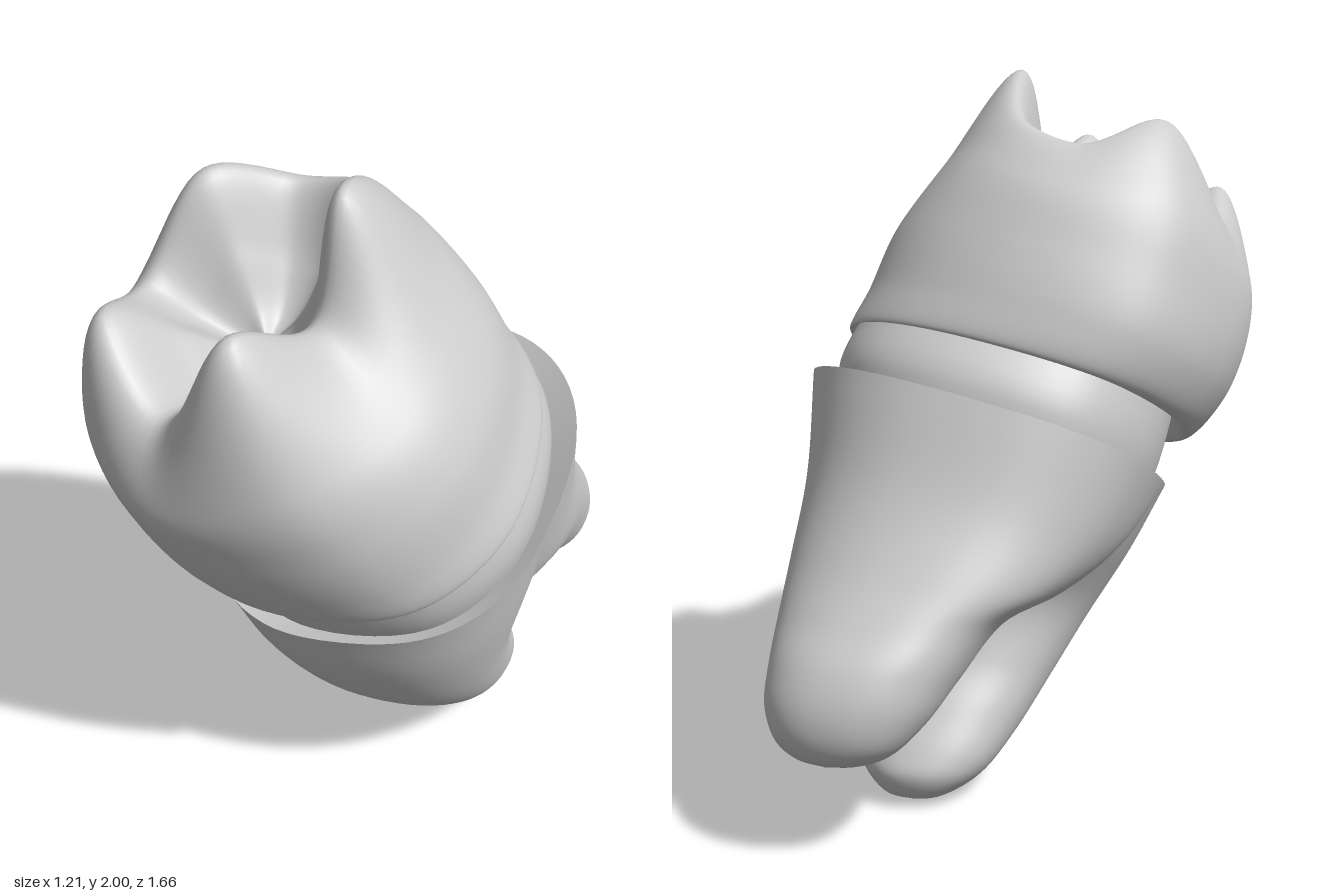
import * as THREE from 'three';

const V = (x, y, z) => new THREE.Vector3(x, y, z);

// Smooth surface through a stack of closed control rings (equal point counts)
function loft(rings, around, along) {
  const loops = rings.map((r) => {
    const curve = new THREE.CatmullRomCurve3(r, true);
    return Array.from({ length: around }, (_, i) => curve.getPoint(i / around));
  });
  const pos = [];
  const index = [];
  for (let i = 0; i < around; i++) {
    const curve = new THREE.CatmullRomCurve3(loops.map((l) => l[i]));
    for (let j = 0; j <= along; j++) pos.push(...curve.getPoint(j / along).toArray());
  }
  const id = (i, j) => (i % around) * (along + 1) + j;
  for (let i = 0; i < around; i++) {
    for (let j = 0; j < along; j++) {
      const a = id(i, j), b = id(i + 1, j), c = id(i + 1, j + 1), d = id(i, j + 1);
      index.push(a, d, b, b, d, c);
    }
  }
  const g = new THREE.BufferGeometry();
  g.setAttribute('position', new THREE.Float32BufferAttribute(pos, 3));
  g.setIndex(index);
  g.computeVertexNormals();
  return g;
}

// Unit outline, squared on one diagonal (power below 1) and round on the other
function outline(angle, power) {
  const c = Math.cos(angle), s = Math.sin(angle);
  const k = c * s > 0 ? power : 0.95;
  return [c, s].map((v) => Math.sign(v) * Math.abs(v) ** k);
}

// Rim of the chewing surface: cusp, saddle, cusp, saddle ... and a back ridge (x, height, z)
const RIM = [
  [0.2, 0.86, -0.19], [0.126, 0.65, 0.05], [0.05, 0.866, 0.25], [-0.225, 0.6, 0.32],
  [-0.4, 0.756, 0.115], [-0.42, 0.62, -0.09], [-0.27, 0.762, -0.335], [-0.09, 0.61, -0.435],
  [0.1, 0.65, -0.4],
].map((p) => V(...p));
const ANGLES = [-20, 20, 63, 109, 153, 190, 237, 275, 308].map((a) => a * Math.PI / 180);

// Ring in the crown's own frame
const oval = (h, cx, cz, rx, rz, power = 0.75) => ANGLES.map((a) => {
  const [c, s] = outline(a, power);
  return V(cx + rx * c, h, cz + rz * s);
});

function crownGeometry() {
  const pit = V(-0.15, 0.4, -0.06);
  const shoulder = oval(0.5, -0.105, -0.005, 0.47, 0.515, 0.9);
  shoulder.forEach((p, i) => { p.y += i % 2 ? -0.04 : 0.02; });
  // Inner rings run down from the rim towards the central pit
  const inner = (t, cuspHeight, saddleHeight) => RIM.map((p, i) => {
    const q = p.clone().lerp(pit, t);
    q.y = i % 2 || i === 8 ? saddleHeight : cuspHeight;
    return q;
  });
  return loft([
    oval(0.04, -0.01, 0, 0.45, 0.46),
    oval(0, -0.02, 0, 0.505, 0.505),
    oval(0.12, -0.065, 0, 0.53, 0.53),
    oval(0.3, -0.085, 0, 0.53, 0.535, 0.82),
    shoulder, RIM,
    inner(0.45, 0.58, 0.48),
    inner(0.75, 0.45, 0.41),
    RIM.map(() => pit.clone()),
  ], 99, 88);
}

// Root section: front point (z, y), back point (z, y), centre x, half width, sideways tilt
function section([zf, yf, zb, yb, cx, rx, tilt = 0]) {
  return Array.from({ length: 24 }, (_, i) => {
    const [u, s] = outline(-i / 24 * Math.PI * 2, 1 - 0.6 * rx);
    const c = u * rx;
    return V(cx + c, (yf + yb) / 2 + s * (yf - yb) / 2 + tilt * c, (zf + zb) / 2 + s * (zf - zb) / 2);
  });
}

function rootGeometry(sections, tip) {
  const rings = sections.map(section);
  rings.push(rings[0].map(() => V(...tip)));
  return loft(rings, 72, 56);
}

const ROOT_RIM = [0.57, 0.78, -0.4, 1.2, 0.095, 0.5, 0.22];

const FRONT_ROOT = [
  ROOT_RIM,
  [0.5, 0.6, -0.25, 0.87, 0.12, 0.42, 0.18],
  [0.36, 0.39, -0.15, 0.6, 0.145, 0.33, 0.1],
  [0.17, 0.22, -0.2, 0.4, 0.165, 0.27],
  [0, 0.1, -0.29, 0.28, 0.185, 0.225],
  [-0.13, 0.035, -0.37, 0.17, 0.2, 0.18],
  [-0.2, 0.01, -0.395, 0.11, 0.205, 0.13],
  [-0.26, 0.005, -0.37, 0.045, 0.21, 0.07],
];

const BACK_ROOT = [
  ROOT_RIM,
  [0.34, 0.66, -0.5, 0.93, 0.125, 0.435, 0.17],
  [0.05, 0.58, -0.61, 0.75, 0.17, 0.37, 0.08],
  [-0.16, 0.53, -0.7, 0.64, 0.22, 0.3],
  [-0.35, 0.4, -0.78, 0.55, 0.25, 0.25],
  [-0.5, 0.31, -0.82, 0.46, 0.27, 0.21],
  [-0.63, 0.26, -0.825, 0.38, 0.28, 0.15],
  [-0.71, 0.265, -0.805, 0.32, 0.285, 0.08],
];

export function createModel() {
  const model = new THREE.Group();
  model.name = 'tooth';
  const enamel = new THREE.MeshStandardMaterial({ color: 0xcccccc });
  enamel.name = 'light grey';

  const add = (parent, name, geometry) => {
    const mesh = new THREE.Mesh(geometry, enamel);
    mesh.name = name;
    parent.add(mesh);
  };

  // Crown and neck share a frame tilted forwards and to one side
  const upper = new THREE.Group();
  upper.name = 'upperTooth';
  const up = V(-0.22, 1, 0.45).normalize();
  const side = V(1, 0.22, 0).normalize();
  upper.quaternion.setFromRotationMatrix(
    new THREE.Matrix4().makeBasis(side, up, side.clone().cross(up)));
  upper.position.set(0.06, 1.115, 0.17);
  model.add(upper);
  add(upper, 'crown', crownGeometry());
  add(upper, 'neckBand', loft([
    oval(-0.22, -0.01, -0.02, 0.455, 0.475),
    oval(-0.1, 0, -0.02, 0.475, 0.495),
    oval(0.05, -0.005, 0, 0.465, 0.475),
  ], 72, 8));

  // Roots flow from one shared rim and split towards their tips
  add(model, 'rootRim', loft([
    section([0.45, 0.77, -0.28, 1.1, 0.09, 0.4, 0.22]),
    section(ROOT_RIM),
  ], 72, 2));
  add(model, 'frontRoot', rootGeometry(FRONT_ROOT, [0.21, 0.015, -0.32]));
  add(model, 'backRoot', rootGeometry(BACK_ROOT, [0.285, 0.285, -0.77]));

  return model;
}
